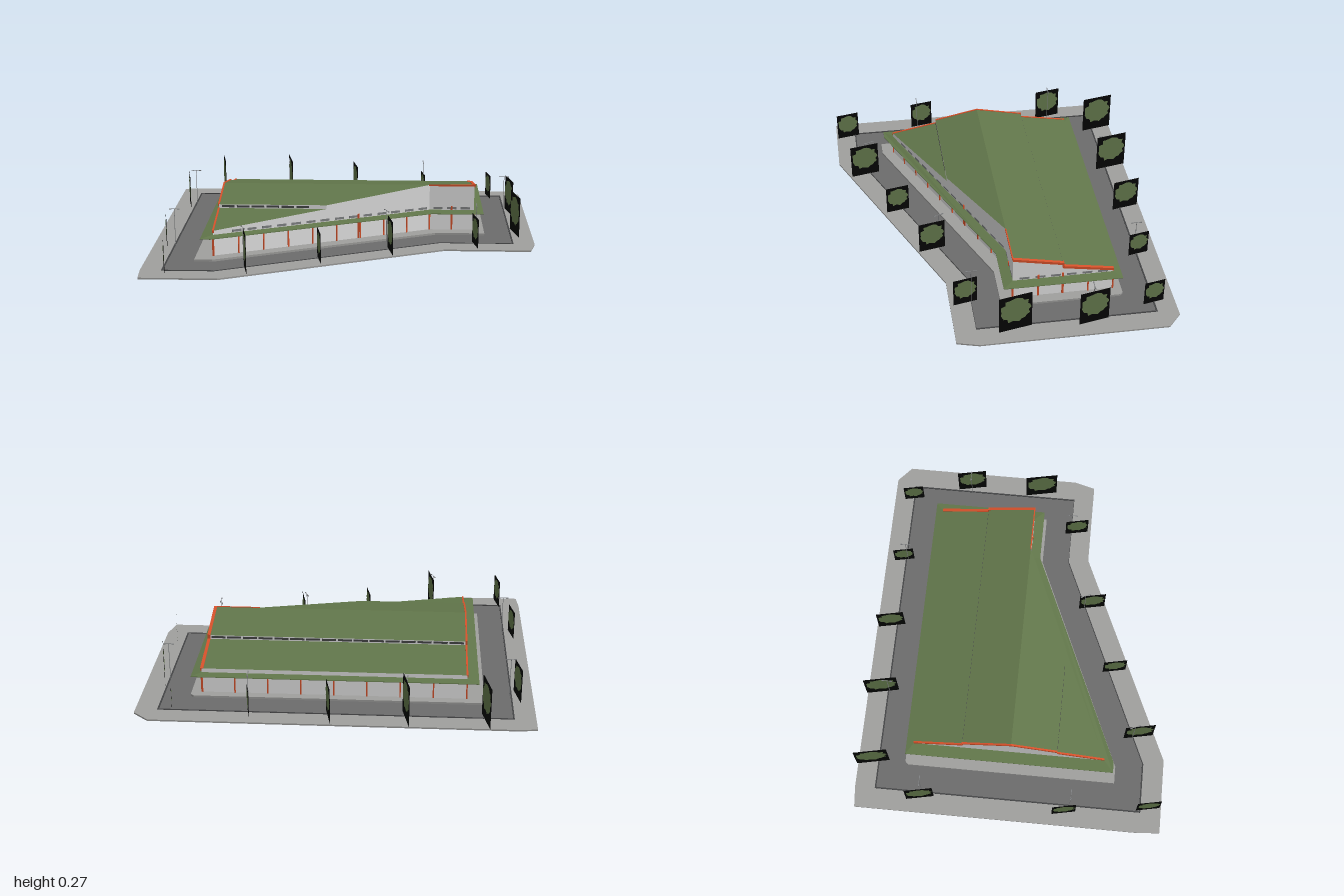
import * as THREE from 'three';

const mat = (name, color, side = THREE.FrontSide) => {
  const m = new THREE.MeshStandardMaterial({ color, side });
  m.name = name;
  return m;
};

export function createModel() {
  const model = new THREE.Group();
  model.name = 'roadsideHall';
  const green = mat('leafGreen', 0x62774b);
  const paving = mat('pavingGrey', 0xa0a09e);
  const asphalt = mat('asphaltGrey', 0x6c6c6c);
  const curbDark = mat('curbGrey', 0x454647);
  const wallGrey = mat('wallGrey', 0xe2e2e2);
  const floorGrey = mat('floorGrey', 0xc2c2c0);
  const white = mat('white', 0xffffff);
  const orange = mat('orangeRed', 0xd8522b);
  const glass = mat('windowGrey', 0x808284);
  const black = mat('black', 0x040504, THREE.DoubleSide);

  // Prism over an x,z outline (optionally with a hole); bottom and top heights follow rules
  function prism(name, outline, bottom, top, mats, hole) {
    const loop = (pts, clockwise) => {
      const v = pts.map(([x, z]) => new THREE.Vector2(x, z));
      return THREE.ShapeUtils.isClockWise(v) === clockwise ? v : v.reverse();
    };
    const rule = (f) => (typeof f === 'function' ? f : () => f);
    const lo = rule(bottom), hi = rule(top);
    const outer = loop(outline, false);
    const holes = hole ? [loop(hole, true)] : [];
    const faces = THREE.ShapeUtils.triangulateShape(outer, holes);
    const rings = [outer, ...holes];
    const ringOf = rings.flatMap((r, i) => r.map(() => i));
    const all = rings.flat();
    const pos = [];
    const put = (p, ring, f) => pos.push(p.x, f(p.x, p.y, ring), p.y);
    for (const [a, b, c] of faces) for (const i of [c, b, a]) put(all[i], ringOf[i], hi);
    const topCount = pos.length / 3;
    for (const f of faces) for (const i of f) put(all[i], ringOf[i], lo);
    rings.forEach((r, k) => r.forEach((p, i) => {
      const q = r[(i + 1) % r.length];
      put(p, k, lo); put(p, k, hi); put(q, k, hi);
      put(p, k, lo); put(q, k, hi); put(q, k, lo);
    }));
    const g = new THREE.BufferGeometry();
    g.setAttribute('position', new THREE.Float32BufferAttribute(pos, 3));
    g.computeVertexNormals();
    g.addGroup(0, topCount, 0);
    g.addGroup(topCount, pos.length / 3 - topCount, 1);
    const m = new THREE.Mesh(g, Array.isArray(mats) ? mats : [mats, mats]);
    m.name = name;
    model.add(m);
  }

  function box(name, w, h, d, x, y, z, material, angle = 0, parent = model) {
    const m = new THREE.Mesh(new THREE.BoxGeometry(w, h, d), material);
    m.position.set(x, y, z);
    m.rotation.y = angle;
    m.name = name;
    parent.add(m);
  }

  // Calls back at n evenly spaced places from a to b with the heading of the line
  function along(a, b, n, inset, place) {
    const angle = -Math.atan2(b[1] - a[1], b[0] - a[0]);
    for (let i = 0; i < n; i++) {
      const t = inset ? (i + 0.5) / n : i / n;
      place(a[0] + (b[0] - a[0]) * t, a[1] + (b[1] - a[1]) * t, angle);
    }
  }
  const shrink = (pts, kx, kz) => pts.map(([x, z]) => [x * kx, z * kz]);

  // Ground: outer pavement, ring road, island and floor
  const plot = [[-1, -0.8], [-0.89, -0.81], [0.92, -0.81], [1, -0.74], [1, 0.21], [0.97, 0.32],
    [0.52, 0.32], [-0.6, 0.81], [-0.99, 0.81], [-1, 0.7]];
  const roadEdge = [[-0.893, -0.705], [0.889, -0.705], [0.889, 0.212], [0.5, 0.212], [-0.63, 0.703], [-0.893, 0.703]];
  const roadInner = shrink(roadEdge, 0.992, 0.99);
  const island = [[-0.75, -0.545], [-0.735, -0.56], [0.73, -0.56], [0.745, -0.545], [0.745, 0.065],
    [0.48, 0.065], [-0.66, 0.555], [-0.75, 0.555]];
  const walls = [[-0.66, -0.515], [0.69, -0.515], [0.69, 0], [0.45, 0], [-0.66, 0.49]];
  prism('outerPavement', plot, 0, 0.008, paving, roadEdge);
  prism('roadCurb', roadEdge, 0, 0.011, curbDark, roadInner);
  prism('ringRoad', roadInner, 0, 0.007, asphalt, island);
  prism('islandPavement', island, 0, 0.018, paving, walls);
  prism('floor', walls, 0, 0.018, floorGrey);

  // Ground floor with columns between the bays
  prism('groundFloorWalls', walls, 0.018, 0.122, white);
  const bays = [8, 4, 2, 9, 7];
  walls.forEach((a, i) => along(a, walls[(i + 1) % 5], bays[i], false, (x, z, r) =>
    box('column', 0.007, 0.104, 0.01, x, 0.07, z, orange, r)));

  // Sloping canopy all round
  const eaves = [[-0.72, -0.555], [0.74, -0.555], [0.74, 0.052], [0.46, 0.052], [-0.665, 0.54], [-0.72, 0.54]];
  prism('canopy', eaves, (x, z, ring) => (ring ? 0.115 : 0.119),
    (x, z, ring) => (ring ? 0.129 : 0.122), green, walls);

  // Upper storey in four roof panels with a step in each slope
  const slope = (z0, y0, z1, y1) => (x, z) => y0 + (y1 - y0) * (z - z0) / (z1 - z0);
  const stepX = -0.094;
  const panels = [
    { name: 'backLowerRoof', z: [-0.515, -0.255], y: [0.15, 0.195], pts: [[-0.66, -0.515], [0.69, -0.515], [0.69, -0.255], [-0.66, -0.255]] },
    { name: 'backUpperRoof', z: [-0.255, 0], y: [0.216, 0.268], pts: [[-0.66, -0.255], [0.69, -0.255], [0.69, 0], [-0.66, 0]] },
    { name: 'frontUpperRoof', z: [0, 0.24], y: [0.268, 0.218], pts: [[-0.66, 0], [0.45, 0], [stepX, 0.24], [-0.66, 0.24]] },
    { name: 'frontLowerRoof', z: [0.24, 0.49], y: [0.198, 0.15], pts: [[-0.66, 0.24], [stepX, 0.24], [-0.66, 0.49]] },
  ];
  panels.forEach((p, i) => {
    const h = slope(p.z[0], p.y[0], p.z[1], p.y[1]);
    prism(p.name, p.pts, 0.12, h, [green, wallGrey]);
    // Orange edging on the gables
    const edges = i < 2 ? [[-0.664, -0.655], [0.68, 0.696]] : [[-0.664, -0.655]];
    for (const [x0, x1] of edges) {
      const strip = [[x0, p.z[0]], [x1, p.z[0]], [x1, p.z[1]], [x0, p.z[1]]];
      prism('gableTrim', strip, (a, z) => h(a, z) - 0.011, (a, z) => h(a, z) + 0.003, orange);
    }
  });
  box('ridgeTrim', 0.25, 0.009, 0.006, 0.571, 0.266, 0, orange);
  for (const x of [-0.659, 0.688]) box('stepTrim', x < 0 ? 0.009 : 0.016, 0.03, 0.008, x, 0.205, -0.255, orange);

  // Clerestory strips in the roof steps, and small windows above the canopy
  along([-0.65, -0.255], [0.68, -0.255], 16, true, (x, z, r) =>
    box('clerestoryWindow', 0.074, 0.011, 0.003, x, 0.206, z, curbDark, r));
  along([-0.65, 0.24], [-0.18, 0.24], 6, true, (x, z, r) =>
    box('clerestoryWindow', 0.066, 0.011, 0.003, x, 0.208, z, curbDark, r));
  const windowRows = [[[0.45, 0], [-0.58, 0.455], 14], [[0.46, 0], [0.68, 0], 3], [[0.69, -0.02], [0.69, -0.5], 6]];
  for (const [a, b, n] of windowRows) along(a, b, n, true, (x, z, r) =>
    box('upperWindow', 0.05, 0.012, 0.003, x, 0.139, z, glass, r));

  // Entrance markers
  for (const [x, z] of [[0.07, 0.168], [0.57, 0], [0.69, -0.13], [0.69, -0.255]])
    box('entranceMarker', 0.01, 0.132, 0.01, x, 0.086, z, orange);

  // Flat panel trees: x, z, height
  const trees = [[-0.87, 0.74, 0.165], [-0.48, 0.665, 0.205], [-0.12, 0.51, 0.165], [0.24, 0.36, 0.185],
    [0.685, 0.24, 0.165], [0.91, 0.02, 0.225], [0.91, -0.375, 0.205], [0.815, -0.7, 0.145], [0.43, -0.71, 0.145],
    [0.03, -0.73, 0.19], [-0.355, -0.73, 0.225], [-0.75, -0.73, 0.225], [-0.92, -0.46, 0.19], [-0.93, 0.3, 0.165]];
  const crown = new THREE.Shape();
  for (let i = 0; i < 28; i++) {
    const a = i / 28 * Math.PI * 2, r = 0.345 + 0.025 * Math.sin(i * 2.7) + 0.02 * Math.cos(i * 4.3);
    crown[i ? 'lineTo' : 'moveTo'](r * 1.04 * Math.cos(a), r * Math.sin(a));
  }
  const crownGeo = new THREE.ShapeGeometry(crown);
  const panelGeo = new THREE.PlaneGeometry(0.8, 1);
  for (const [x, z, top] of trees) {
    const tree = new THREE.Group();
    const h = top - 0.008;
    tree.name = 'tree';
    tree.position.set(x, 0.008 + h / 2, z);
    tree.rotation.y = Math.PI * 1.5 + 0.2;
    const panel = new THREE.Mesh(panelGeo, black);
    panel.name = 'treePanel';
    panel.scale.setScalar(h);
    tree.add(panel);
    for (const s of [-1, 1]) {
      const leaf = new THREE.Mesh(crownGeo, green);
      leaf.name = 'treeCrown';
      leaf.scale.setScalar(h);
      leaf.position.set(0, h * 0.08, s * 0.002);
      leaf.rotation.y = s < 0 ? Math.PI : 0;
      tree.add(leaf);
    }
    model.add(tree);
  }

  // Street lamps with twin arms across the kerb: x, z, heading
  const lamps = [[-0.36, -0.69, Math.PI / 2], [0.43, -0.69, Math.PI / 2], [-0.88, -0.455, 0], [-0.88, 0.33, 0],
    [0.88, -0.375, 0], [0.69, 0.21, Math.PI / 2], [0.22, 0.32, -1.16], [-0.49, 0.635, -1.16]];
  for (const [x, z, r] of lamps) {
    const lamp = new THREE.Group();
    lamp.name = 'streetLamp';
    lamp.position.set(x, 0, z);
    lamp.rotation.y = r;
    box('lampPost', 0.0025, 0.21, 0.0025, 0, 0.113, 0, glass, 0, lamp);
    box('lampArm', 0.05, 0.002, 0.002, 0, 0.217, 0, glass, 0, lamp);
    for (const s of [-1, 1]) box('lampHead', 0.012, 0.004, 0.005, s * 0.022, 0.216, 0, glass, 0, lamp);
    model.add(lamp);
  }
  return model;
}
